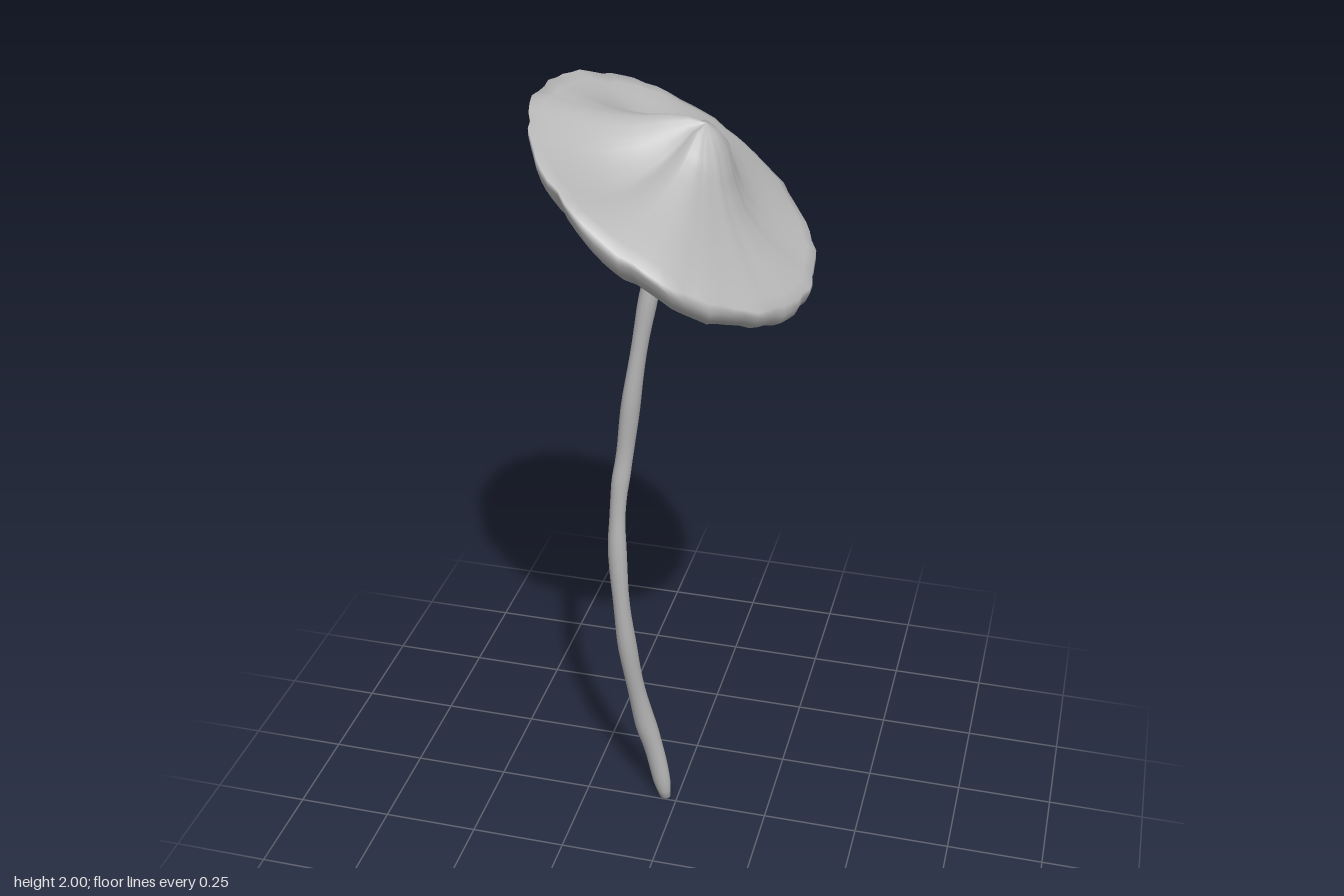
import * as THREE from 'three';

// Closed surface through rings of points; each ring wraps around
function loft(rings) {
  const n = rings[0].length, pos = [], idx = [];
  rings.forEach(r => r.forEach(p => pos.push(...p)));
  for (let i = 0; i < rings.length - 1; i++) {
    for (let j = 0; j < n; j++) {
      const k = (j + 1) % n, a = i * n, b = a + n;
      idx.push(a + j, a + k, b + j, a + k, b + k, b + j);
    }
  }
  const g = new THREE.BufferGeometry();
  g.setAttribute('position', new THREE.Float32BufferAttribute(pos, 3));
  g.setIndex(idx);
  g.computeVertexNormals();
  return g;
}

// Piecewise linear lookup in evenly spaced values
function sample(values, t) {
  const f = t * (values.length - 1), i = Math.min(Math.floor(f), values.length - 2);
  return THREE.MathUtils.lerp(values[i], values[i + 1], f - i);
}

// Tilted plane in which the cap rim lies
const rimY = (x, z) => 1.8 - 0.62 * x - 0.07 * z;

function capGeometry() {
  const N = 72, rings = [];
  const ring = fn => rings.push(Array.from({ length: N }, (_, j) => fn(j / N * Math.PI * 2)));
  // Slightly ragged edge
  const rag = a => 1 + 0.007 * Math.sin(11 * a) + 0.008 * Math.sin(19 * a + 1) + 0.006 * Math.sin(31 * a);
  const rim = a => [0.32 * Math.cos(a) * rag(a), 0.383 * Math.sin(a) * rag(a)];

  // Top: [distance from peak, height above the rim plane to the right, left and sides]
  const profile = [
    [0, 0.2, 0.2, 0.2], [0.1, 0.195, 0.187, 0.185], [0.2, 0.177, 0.165, 0.15], [0.26, 0.115, 0.15, 0.13],
    [0.36, 0.062, 0.122, 0.106], [0.5, 0.035, 0.088, 0.08], [0.65, 0.02, 0.057, 0.055],
    [0.8, 0.01, 0.032, 0.034], [0.92, 0.004, 0.012, 0.015], [1, 0, 0, 0],
  ];
  for (const [t, right, left, side] of profile) {
    ring(a => {
      const [rx, rz] = rim(a), c = Math.cos(a), s = Math.sin(a);
      const x = 0.07 + (rx - 0.07) * t, z = rz * t;
      const h = THREE.MathUtils.lerp(side, c > 0 ? right : left, c * c);
      // Hollows either side of the ridge that runs up to the high edge
      const hollow = c < 0 ? (s < 0 ? 0.055 : 0.045) * Math.sin(2 * a) ** 2 * Math.sin(Math.PI * t) : 0;
      const fold = 0.008 * Math.sin(Math.PI * t) * t * Math.sin(5 * a + 0.6);
      return [x, rimY(x, z) + h - hollow + fold, z];
    });
  }
  // Rolled lip and hollow underside
  const under = [[1, -0.018], [0.97, -0.045], [0.9, -0.072], [0.82, -0.082], [0.7, -0.078], [0.5, -0.065], [0.25, -0.055], [0, -0.05]];
  for (const [s, d] of under) {
    ring(a => {
      const [rx, rz] = rim(a);
      const x = rx * s, z = rz * s;
      const wave = 0.006 * Math.sin(9 * a + 1) * s;
      return [x, rimY(x, z) + d + wave, z];
    });
  }
  return loft(rings);
}

function stemGeometry() {
  const path = new THREE.CatmullRomCurve3([
    [-0.035, 0, -0.017], [-0.058, 0.15, -0.005], [-0.083, 0.28, 0.015], [-0.106, 0.49, 0.06],
    [-0.12, 0.68, 0.084], [-0.128, 0.88, 0.09], [-0.122, 1.02, 0.086], [-0.106, 1.14, 0.08],
    [-0.083, 1.32, 0.083], [-0.05, 1.53, 0.076], [-0.02, 1.69, 0.07], [-0.01, 1.77, 0.065],
  ].map(p => new THREE.Vector3(...p)));
  const radii = [0.02, 0.027, 0.025, 0.023, 0.025, 0.023, 0.019, 0.022, 0.022, 0.024, 0.02, 0.019];
  const N = 14, M = 60, rings = [];
  const ring = (p, r, t) => rings.push(Array.from({ length: N }, (_, j) => {
    const a = j / N * Math.PI * 2;
    const q = r * (1 + 0.08 * Math.sin(2 * a + 14 * t) + 0.07 * Math.sin(47 * t));
    return [p.x + q * Math.cos(a), p.y, p.z + q * Math.sin(a)];
  }));
  // From the top down, closing at a rounded foot
  for (let i = 0; i <= M; i++) {
    const t = 1 - i / M, p = path.getPoint(t);
    ring(p, sample(radii, t) * Math.min(1, 0.75 + t * 10), t);
  }
  ring(path.getPoint(0), 0, 0);
  return loft(rings);
}

export function createModel() {
  const group = new THREE.Group();
  group.name = 'mushroom';
  const grey = new THREE.MeshStandardMaterial({ color: 0xb8b8b8 });
  grey.name = 'pale grey';

  const cap = new THREE.Mesh(capGeometry(), grey);
  cap.name = 'cap';
  const stem = new THREE.Mesh(stemGeometry(), grey);
  stem.name = 'stem';
  group.add(cap, stem);
  return group;
}
